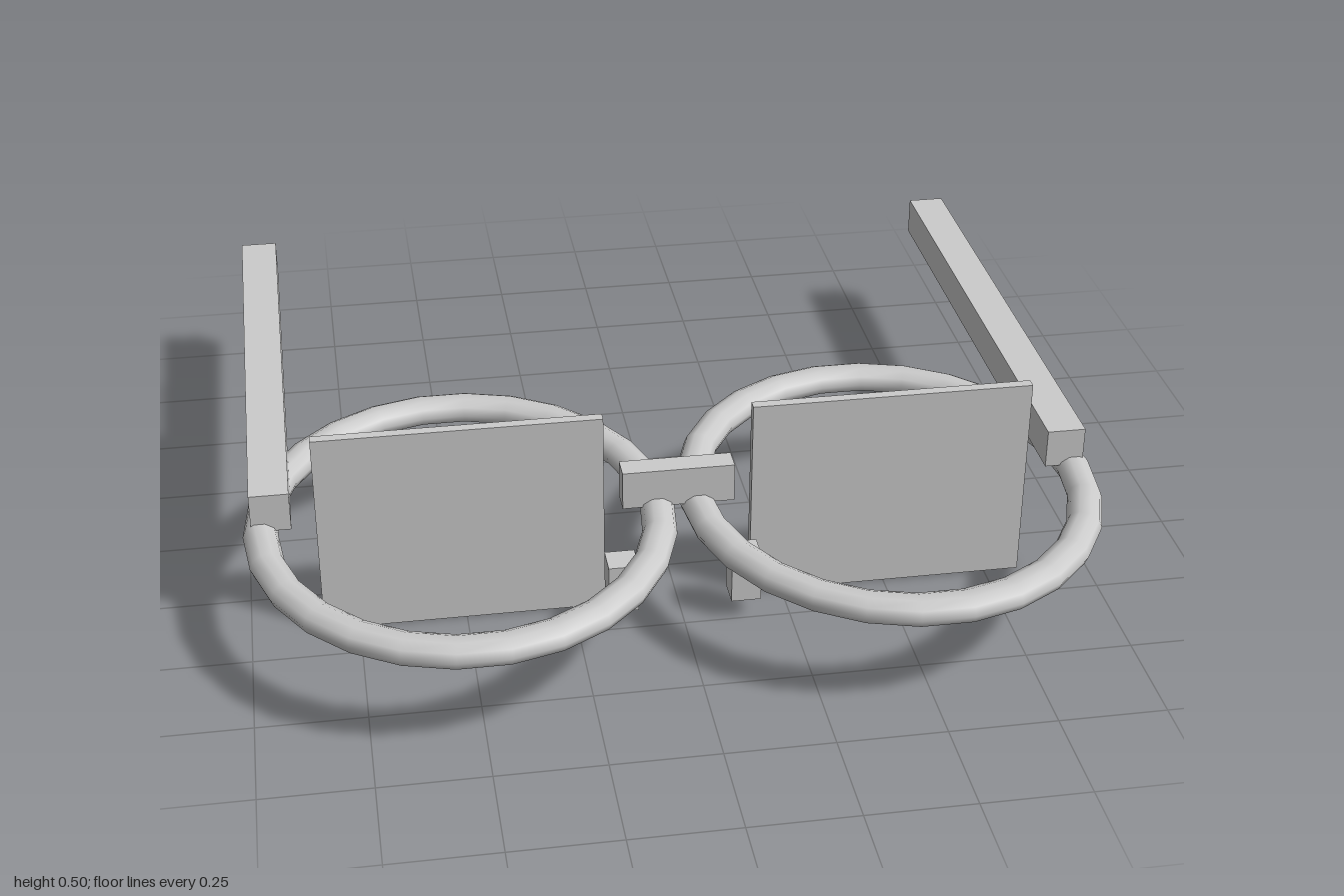
import * as THREE from 'three';

export function createModel() {
  const model = new THREE.Group();
  const grey = new THREE.MeshStandardMaterial({ color: 0xcccccc });

  // Box given by its lower and upper corner
  function box(name, min, max) {
    const size = max.map((v, i) => v - min[i]);
    const mesh = new THREE.Mesh(new THREE.BoxGeometry(...size), grey);
    mesh.position.set(...max.map((v, i) => (v + min[i]) / 2));
    mesh.name = name;
    model.add(mesh);
  }

  // Horizontal rim: a torus laid flat, stretched to an oval and flattened
  const rimGeometry = new THREE.TorusGeometry(1, 0.088, 10, 26);
  rimGeometry.rotateX(Math.PI / 2);
  rimGeometry.scale(0.457, 0.375, 0.524);

  for (const [side, s] of [['left', 1], ['right', -1]]) {
    const pair = (name, x0, x1, y0, y1, z0, z1) =>
      box(side + name, [Math.min(s * x0, s * x1), y0, z0], [Math.max(s * x0, s * x1), y1, z1]);

    const rim = new THREE.Mesh(rimGeometry, grey);
    rim.name = side + 'Rim';
    rim.position.set(s * 0.503, 0.255, 0.372);
    if (s < 0) rim.rotation.y = Math.PI;
    model.add(rim);

    pair('Lens', 0.173, 0.833, 0, 0.505, 0.37, 0.395);
    pair('Temple', 0.889, 0.98, 0.267, 0.361, -0.945, 0.372);
    pair('NosePad', 0.109, 0.179, 0.052, 0.172, 0.434, 0.505);
  }

  // Bridge joining the two rims
  box('bridge', [-0.131, 0.267, 0.347], [0.131, 0.361, 0.404]);

  return model;
}
